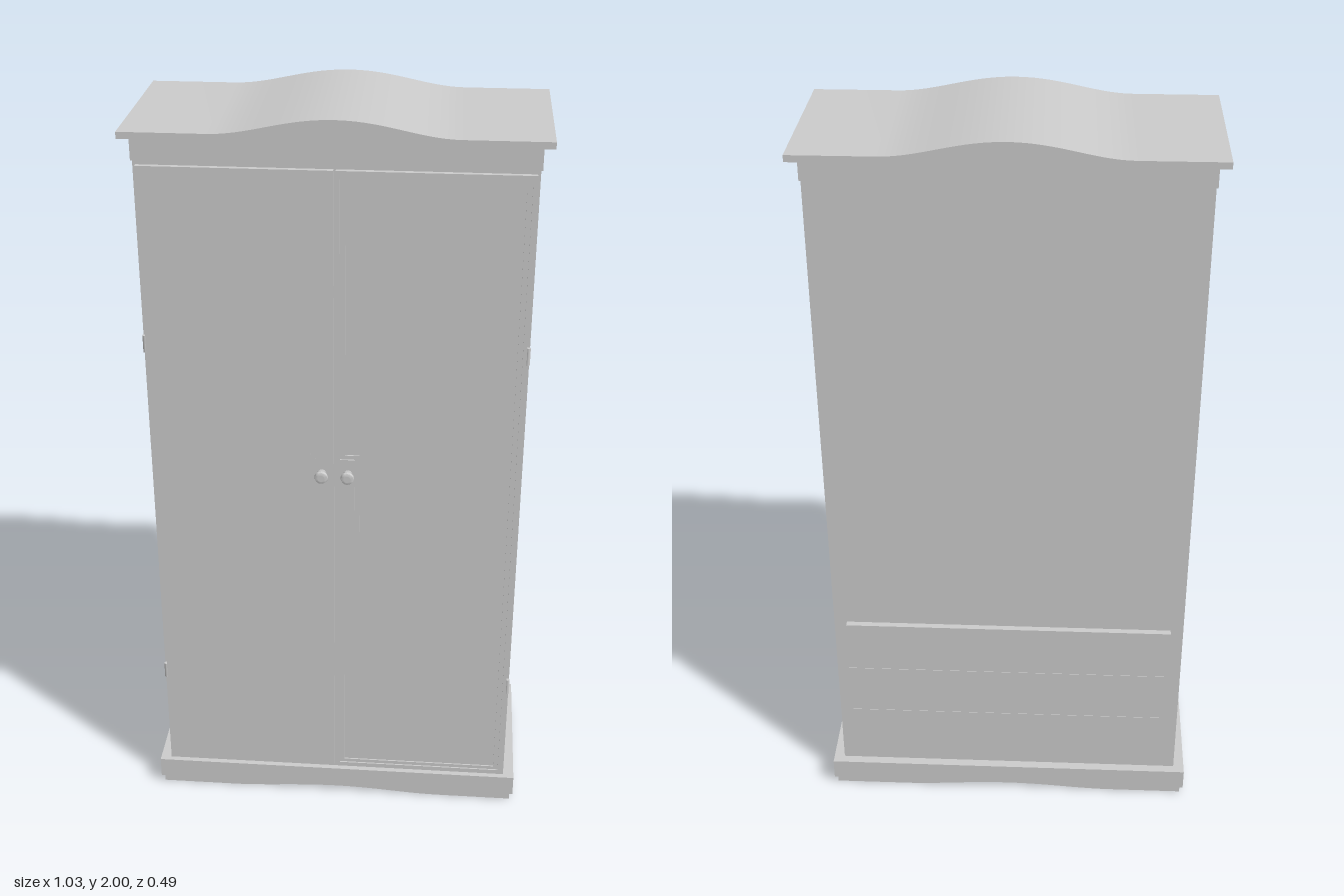
import * as THREE from 'three';
import { toCreasedNormals } from 'three/addons/utils/BufferGeometryUtils.js';

const material = new THREE.MeshStandardMaterial({ color: 0xcccccc });

function add(parent, name, geometry, x = 0, y = 0, z = 0) {
  const mesh = new THREE.Mesh(geometry, material);
  mesh.name = name;
  mesh.position.set(x, y, z);
  parent.add(mesh);
  return mesh;
}

// Box given by its limits on each axis
function addBox(parent, name, [x0, x1], [y0, y1], [z0, z1]) {
  return add(parent, name, new THREE.BoxGeometry(x1 - x0, y1 - y0, z1 - z0),
    (x0 + x1) / 2, (y0 + y1) / 2, (z0 + z1) / 2);
}

// Front outline pushed through the depth from z0 to z1
function addSlab(parent, name, shape, z0, z1) {
  const geometry = new THREE.ExtrudeGeometry(shape, { depth: z1 - z0, bevelEnabled: false, curveSegments: 14 });
  return add(parent, name, toCreasedNormals(geometry, 0.5), 0, 0, z0);
}

// S-curved hump running from x = -0.3 * dir to x = 0.3 * dir
function hump(shape, dir, low, high) {
  shape.lineTo(-0.3 * dir, low);
  shape.bezierCurveTo(-0.2 * dir, low, -0.12 * dir, high, 0, high);
  shape.bezierCurveTo(0.12 * dir, high, 0.2 * dir, low, 0.3 * dir, low);
}

function humpBand(halfWidth, top, bottom) {
  const shape = new THREE.Shape();
  shape.moveTo(-halfWidth, bottom[0]);
  if (bottom[1] > bottom[0]) hump(shape, 1, ...bottom);
  shape.lineTo(halfWidth, bottom[0]);
  shape.lineTo(halfWidth, top[0]);
  if (top[1] > top[0]) hump(shape, -1, ...top);
  shape.lineTo(-halfWidth, top[0]);
  shape.closePath();
  return shape;
}

// Panel outline, stepped around the knob plate on the meeting side
function panelOutline(side, inner, outer, bottom, top, notch, notchBottom, notchTop) {
  return [
    [inner, bottom], [outer, bottom], [outer, top], [inner, top],
    [inner, notchTop], [notch, notchTop], [notch, notchBottom], [inner, notchBottom],
  ].map(([x, y]) => new THREE.Vector2(x * side, y));
}

function createDoor(side) {
  const door = new THREE.Group();
  door.name = side > 0 ? 'leftDoor' : 'rightDoor';
  const edge = [[0.003, 0.095], [0.478, 0.095], [0.478, 1.875], [0.003, 1.875]]
    .map(([x, y]) => new THREE.Vector2(x * side, y));
  const wide = panelOutline(side, 0.013, 0.468, 0.106, 1.855, 0.052, 0.862, 1.102);
  const narrow = panelOutline(side, 0.026, 0.455, 0.116, 1.842, 0.064, 0.85, 1.113);

  // Frame, stepped moulding and recessed panel
  const frame = new THREE.Shape(edge);
  frame.holes.push(new THREE.Path(wide));
  addSlab(door, 'doorFrame', frame, 0.199, 0.213);
  const moulding = new THREE.Shape(wide);
  moulding.holes.push(new THREE.Path(narrow));
  addSlab(door, 'doorMoulding', moulding, 0.199, 0.209);
  addSlab(door, 'doorPanel', new THREE.Shape(narrow), 0.199, 0.205);

  // Turned knob
  const profile = [[0, 0], [0.012, 0], [0.012, 0.003], [0.007, 0.006], [0.007, 0.015],
    [0.015, 0.018], [0.018, 0.022], [0.016, 0.028], [0.009, 0.031], [0, 0.031]]
    .map(([r, h]) => new THREE.Vector2(r, h));
  const knob = toCreasedNormals(new THREE.LatheGeometry(profile, 16), 0.6);
  add(door, 'knob', knob, 0.034 * side, 1.06, 0.212).rotation.x = Math.PI / 2;

  // Hinge barrels
  for (const y of [0.4, 1.41]) {
    add(door, 'hinge', new THREE.CylinderGeometry(0.006, 0.006, 0.046, 10), 0.481 * side, y, 0.205);
  }
  return door;
}

export function createModel() {
  const wardrobe = new THREE.Group();
  wardrobe.name = 'wardrobe';

  // Plinth with a shallow arch cut through the underside
  addSlab(wardrobe, 'plinthFoot', humpBand(0.506, [0.022, 0.022], [0, 0.014]), -0.229, 0.209);
  addBox(wardrobe, 'plinth', [-0.515, 0.515], [0.022, 0.082], [-0.235, 0.215]);

  // Carcass and curved top
  addBox(wardrobe, 'carcass', [-0.485, 0.485], [0.082, 1.885], [-0.21, 0.2]);
  addSlab(wardrobe, 'frieze', humpBand(0.489, [1.944, 1.984], [1.885, 1.885]), -0.214, 0.204);
  addSlab(wardrobe, 'cornice', humpBand(0.515, [1.96, 2], [1.943, 1.983]), -0.245, 0.225);

  for (const side of [-1, 1]) wardrobe.add(createDoor(side));

  // Three boards across the lower back
  for (let i = 0; i < 3; i++) {
    const y = 0.13 + i * 0.152;
    addBox(wardrobe, 'backBoard', [-0.45, 0.45], [y, y + 0.151], [-0.227, -0.209]);
  }
  return wardrobe;
}
